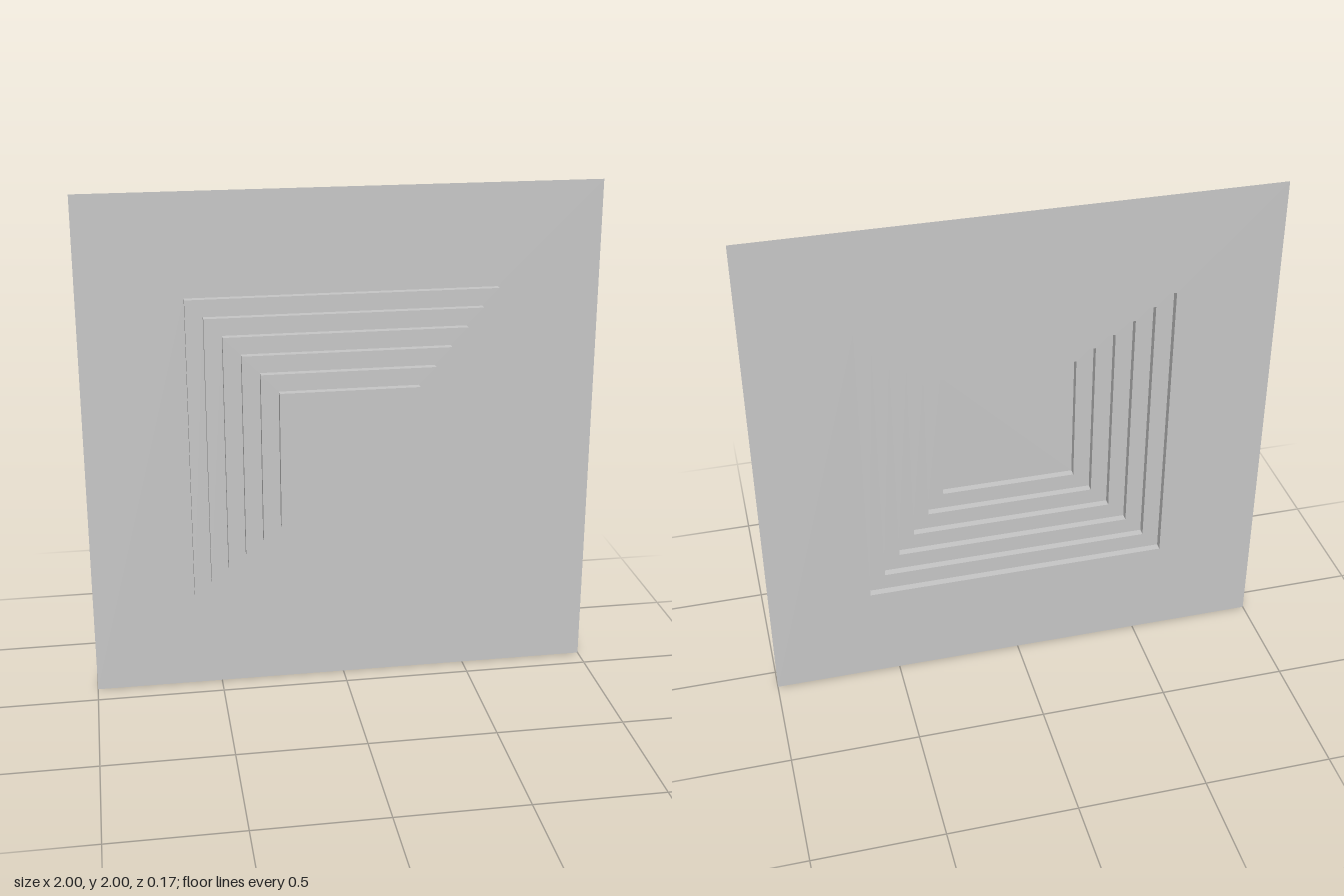
import * as THREE from 'three';

const STEPS = 6, DEPTH = 0.175, RISE = DEPTH / STEPS;
const halfWidth = (i) => 0.6 - i / 15;

// Flat square sheet facing +z, with an optional square opening
function squareSheet(half, hole) {
  const corners = (h) => [[-h, -h], [h, -h], [h, h], [-h, h]].map(([x, y]) => new THREE.Vector2(x, y));
  const shape = new THREE.Shape(corners(half));
  if (hole) shape.holes.push(new THREE.Path(corners(hole).reverse()));
  return new THREE.ShapeGeometry(shape);
}

// Four open walls around a square step, running along z
function squareWalls(half) {
  const geo = new THREE.CylinderGeometry(half * Math.SQRT2, half * Math.SQRT2, RISE, 4, 1, true)
    .rotateY(Math.PI / 4).rotateX(Math.PI / 2).toNonIndexed();
  geo.computeVertexNormals();
  return geo;
}

export function createModel() {
  const group = new THREE.Group();
  const grey = new THREE.MeshStandardMaterial({ color: 0xc8c8c8, side: THREE.DoubleSide });
  grey.name = 'lightGrey';

  const add = (name, geometry, z) => {
    const mesh = new THREE.Mesh(geometry, grey);
    mesh.name = name;
    mesh.position.set(0, 1, z);
    group.add(mesh);
  };

  // Thin panel, open behind the steps
  add('panel', squareSheet(1, halfWidth(0)), -DEPTH / 2);

  // Hollow steps narrowing towards the front; only the last is closed
  for (let i = 0; i < STEPS; i++) {
    const z = -DEPTH / 2 + i * RISE;
    const last = i === STEPS - 1;
    add(`stepWalls${i + 1}`, squareWalls(halfWidth(i)), z + RISE / 2);
    add(last ? 'centrePlate' : `stepLedge${i + 1}`,
      squareSheet(halfWidth(i), last ? 0 : halfWidth(i + 1)), z + RISE);
  }
  return group;
}
